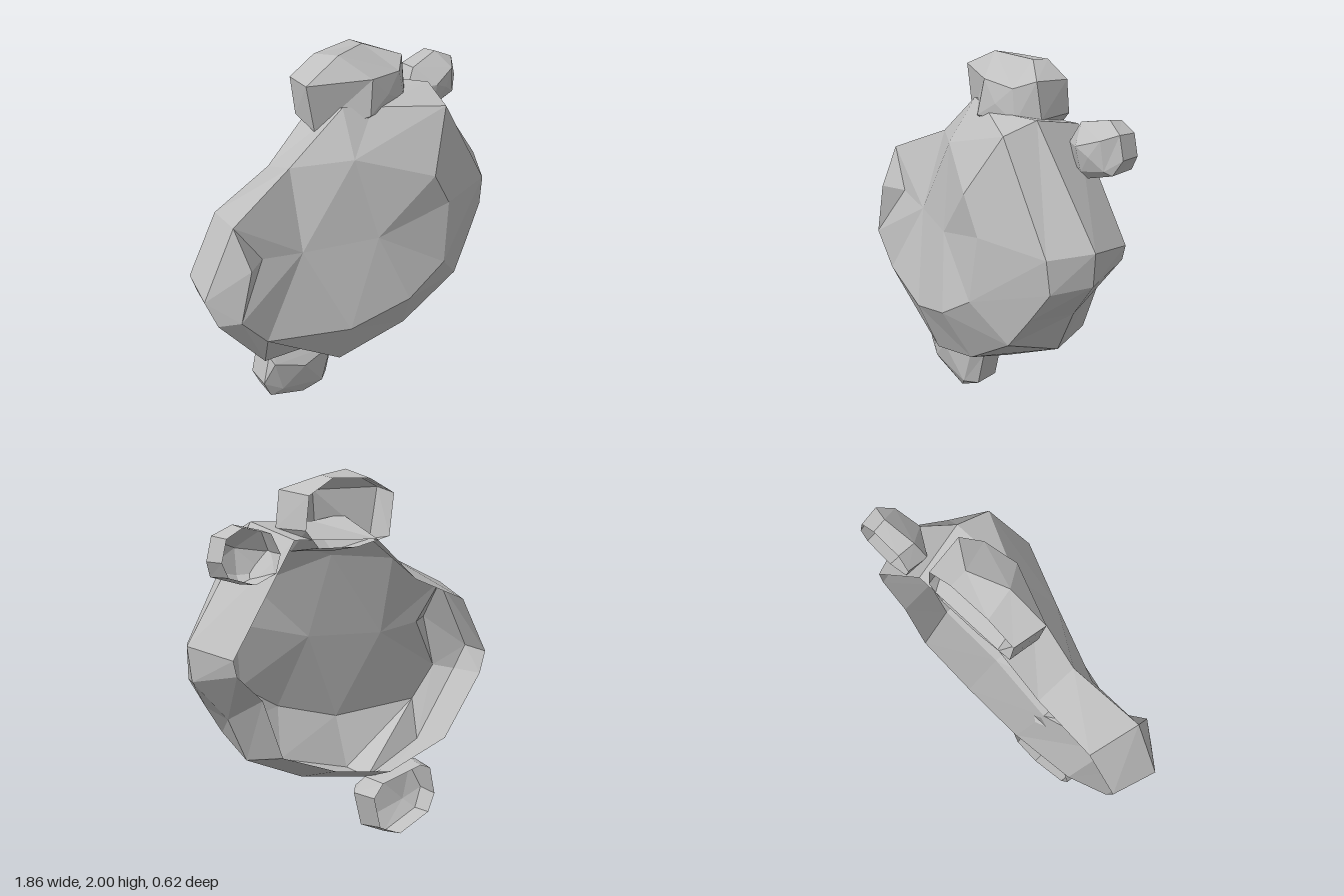
import * as THREE from 'three';

const stone = new THREE.MeshStandardMaterial({ color: 0xc0c0c0, flatShading: true, side: THREE.DoubleSide });
stone.name = 'grey stone';

// Skins the loops from back to front, then closes the front with a fan; the back stays open
function makeRock(name, rings, centre) {
  const pos = [];
  const tri = (...pts) => {
    const [a, b, c] = pts.map((p) => new THREE.Vector3(...p));
    if (b.sub(a).cross(c.sub(a)).length() > 1e-6) pts.forEach((p) => pos.push(...p));
  };
  const n = rings[0].length;
  for (let i = 0; i < n; i++) {
    const j = (i + 1) % n;
    for (let r = 0; r + 1 < rings.length; r++) {
      const a = rings[r], b = rings[r + 1];
      tri(a[i], b[i], b[j]);
      tri(a[i], b[j], a[j]);
    }
    const last = rings[rings.length - 1];
    tri(last[i], centre, last[j]);
  }
  const geo = new THREE.BufferGeometry();
  geo.setAttribute('position', new THREE.Float32BufferAttribute(pos, 3));
  geo.computeVertexNormals();
  const mesh = new THREE.Mesh(geo, stone);
  mesh.name = name;
  return mesh;
}

// Flat open rim: a loop shrunk towards (cx, cy) at depth z
const rim = (loop, cx, cy, s, z) => loop.map(([x, y]) => [cx + (x - cx) * s, cy + (y - cy) * s, z]);

export function createModel() {
  const group = new THREE.Group();
  group.name = 'rockCluster';

  // Large boulder: loops run clockwise from the -x side; repeated points merge faces
  const back = [
    [-0.85, 0.97], [-0.67, 1.28], [-0.67, 1.28], [-0.32, 1.42], [-0.05, 1.65], [0.13, 1.66], [0.48, 1.68], [0.85, 1.13],
    [0.83, 1.05], [0.68, 0.91], [0.56, 0.6], [0.22, 0.47], [-0.15, 0.4], [-0.55, 0.52], [-0.81, 0.85],
  ].map(([x, y]) => [x, y, -0.31]);
  const shoulder = [-0.75, 1.34, -0.04];
  const widest = [
    [-0.93, 0.96, -0.07], shoulder, shoulder, [-0.35, 1.51, -0.09], [-0.03, 1.76, -0.05], [0.13, 1.73, 0],
    [0.52, 1.75, 0], [0.93, 1.17, -0.03], [0.91, 0.99, -0.04], [0.73, 0.78, -0.08], [0.62, 0.55, -0.08],
    [0.25, 0.39, -0.06], [-0.17, 0.32, -0.1], [-0.6, 0.45, -0.03], [-0.89, 0.82, -0.02],
  ];
  const dent = [-0.61, 1.12, 0.0], hub = [-0.38, 1.08, 0.04], cheek = [-0.8, 0.84, 0.06];
  const brow = [-0.07, 1.53, 0.09];
  const edge = [
    cheek, [-0.73, 1.13, 0.07], dent, hub, brow, brow,
    [0.48, 1.69, 0.18], [0.8, 1.14, 0.17], [0.81, 0.96, 0.15], [0.69, 0.79, 0.18], [0.57, 0.63, 0.21],
    [0.22, 0.43, 0.17], [-0.18, 0.33, 0.09], [-0.65, 0.66, 0.07], cheek,
  ];
  const peak = [0.31, 1.38, 0.29], chest = [0.38, 0.83, 0.31], chin = [-0.2, 0.6, 0.21];
  const face = [
    hub, dent, dent, hub, brow, peak, peak, [0.42, 1.18, 0.29], chest, chest, chest,
    [0.14, 0.69, 0.3], chin, chin, hub,
  ];
  // Closes the dent before the front fan
  const inner = face.map((v) => (v === dent ? hub : v));
  group.add(makeRock('largeBoulder', [back, widest, edge, face, inner], [0.01, 1.08, 0.19]));

  // Rock on top
  const top = [
    [-0.2, 1.9, -0.13], [0.02, 2, -0.14], [0.24, 1.98, -0.21], [0.41, 1.91, -0.09],
    [0.44, 1.72, -0.1], [0.36, 1.6, -0.12], [0.08, 1.58, -0.1], [-0.15, 1.63, -0.13],
  ];
  const topRim = [
    [-0.16, 1.88], [0, 1.96], [0.24, 1.97], [0.39, 1.89], [0.41, 1.72], [0.33, 1.63], [0.08, 1.62], [-0.13, 1.66],
  ].map(([x, y]) => [x, y, -0.31]);
  const a = [0.12, 1.89, 0.01], b = [0.32, 1.87, -0.01], c = [0.35, 1.7, 0], d = [0.09, 1.7, 0.03];
  group.add(makeRock('topRock', [topRim, top, [a, a, b, b, c, c, d, d]], [0.22, 1.78, 0.02]));

  // Small rock at the upper +x side
  const side = [
    [0.55, 1.62, -0.19], [0.61, 1.73, -0.21], [0.79, 1.77, -0.23], [0.89, 1.72, -0.2],
    [0.92, 1.6, -0.2], [0.88, 1.52, -0.17], [0.71, 1.47, -0.17], [0.58, 1.52, -0.19],
  ];
  const e = [0.69, 1.64, -0.1], f = [0.83, 1.69, -0.13], g = [0.85, 1.54, -0.14], h = [0.7, 1.51, -0.13];
  group.add(makeRock('sideRock', [rim(side, 0.74, 1.62, 0.92, -0.31), side, [e, e, f, f, g, g, h, h]], [0.77, 1.6, -0.11]));

  // Small rock underneath
  const low = [
    [-0.54, 0.2, -0.13], [-0.5, 0.37, -0.13], [-0.42, 0.4, -0.16], [-0.12, 0.34, -0.14],
    [-0.05, 0.26, -0.13], [-0.1, 0.07, -0.13], [-0.26, 0, -0.14], [-0.49, 0.09, -0.14],
  ];
  const p = [-0.49, 0.33, -0.09], q = [-0.1, 0.28, -0.08], r = [-0.17, 0.07, -0.08], s = [-0.44, 0.14, -0.09];
  group.add(makeRock('lowerRock', [rim(low, -0.3, 0.2, 0.9, -0.27), low, [s, p, p, q, q, r, r, s]], [-0.31, 0.26, -0.05]));

  return group;
}
